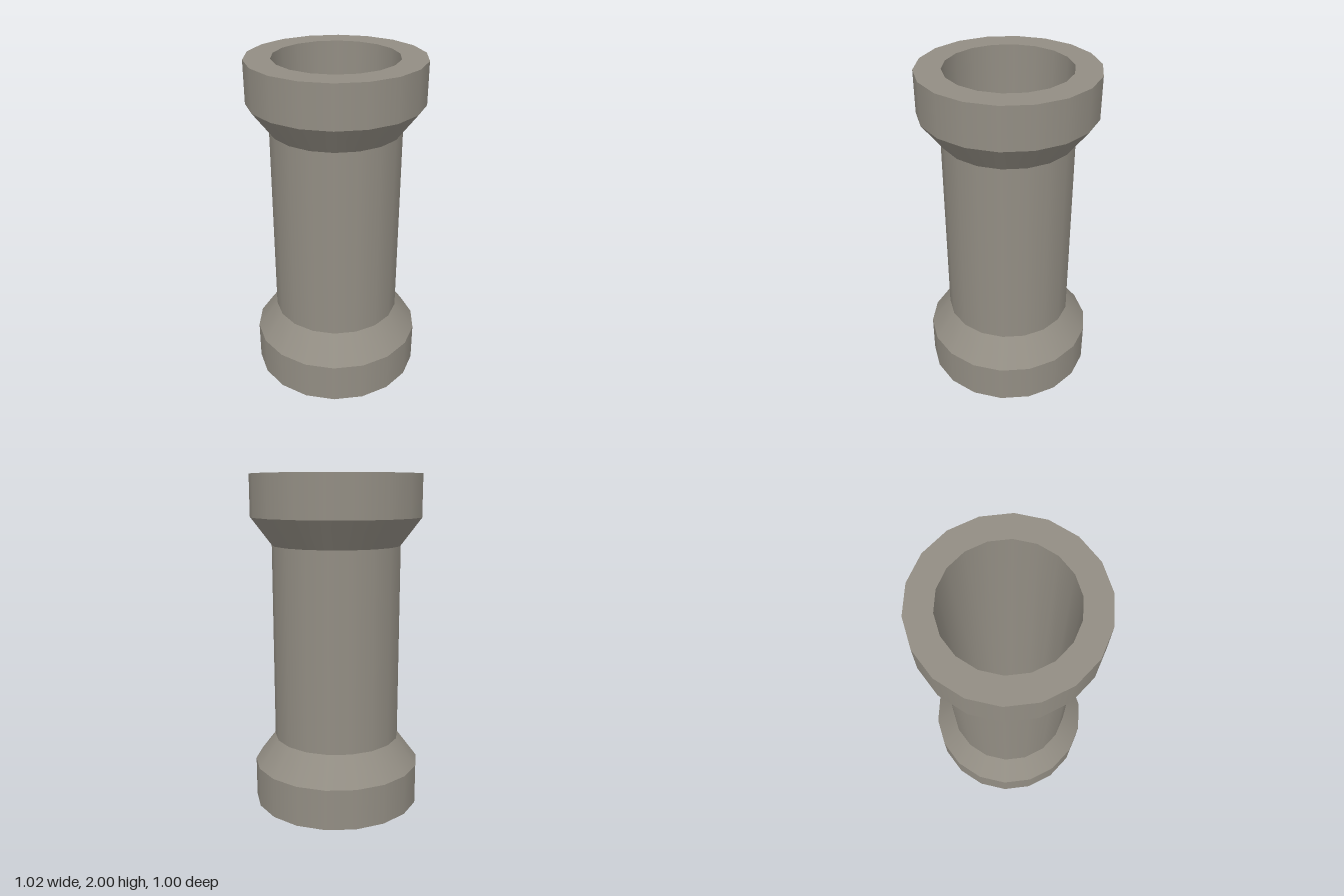
import * as THREE from 'three';

const SIDES = 18;

export function createModel() {
  const model = new THREE.Group();
  model.name = 'pipe';
  const stone = new THREE.MeshStandardMaterial({ color: 0x928d83 });
  stone.name = 'warm grey';

  const collar = 0.51, shaft = 0.385, bore = 0.36;

  // One ring of faces between two profile points, with crisp edges to its neighbours
  function band(name, [r0, y0], [r1, y1]) {
    const points = [new THREE.Vector2(r0, y0), new THREE.Vector2(r1, y1)];
    const mesh = new THREE.Mesh(new THREE.LatheGeometry(points, SIDES, Math.PI / 2), stone);
    mesh.name = name;
    model.add(mesh);
  }

  // Closed profile: up the outside, over the rim, down the bore and out along the base
  const profile = [
    ['lowerCollar', [collar, 0]],
    ['lowerTaper', [collar, 0.245]],
    ['shaft', [shaft, 0.41]],
    ['upperTaper', [shaft, 1.59]],
    ['upperCollar', [collar, 1.755]],
    ['topRim', [collar, 2]],
    ['bore', [bore, 2]],
    ['bottomRim', [bore, 0]],
  ];
  profile.forEach(([name, point], i) => band(name, point, profile[(i + 1) % profile.length][1]));

  return model;
}
